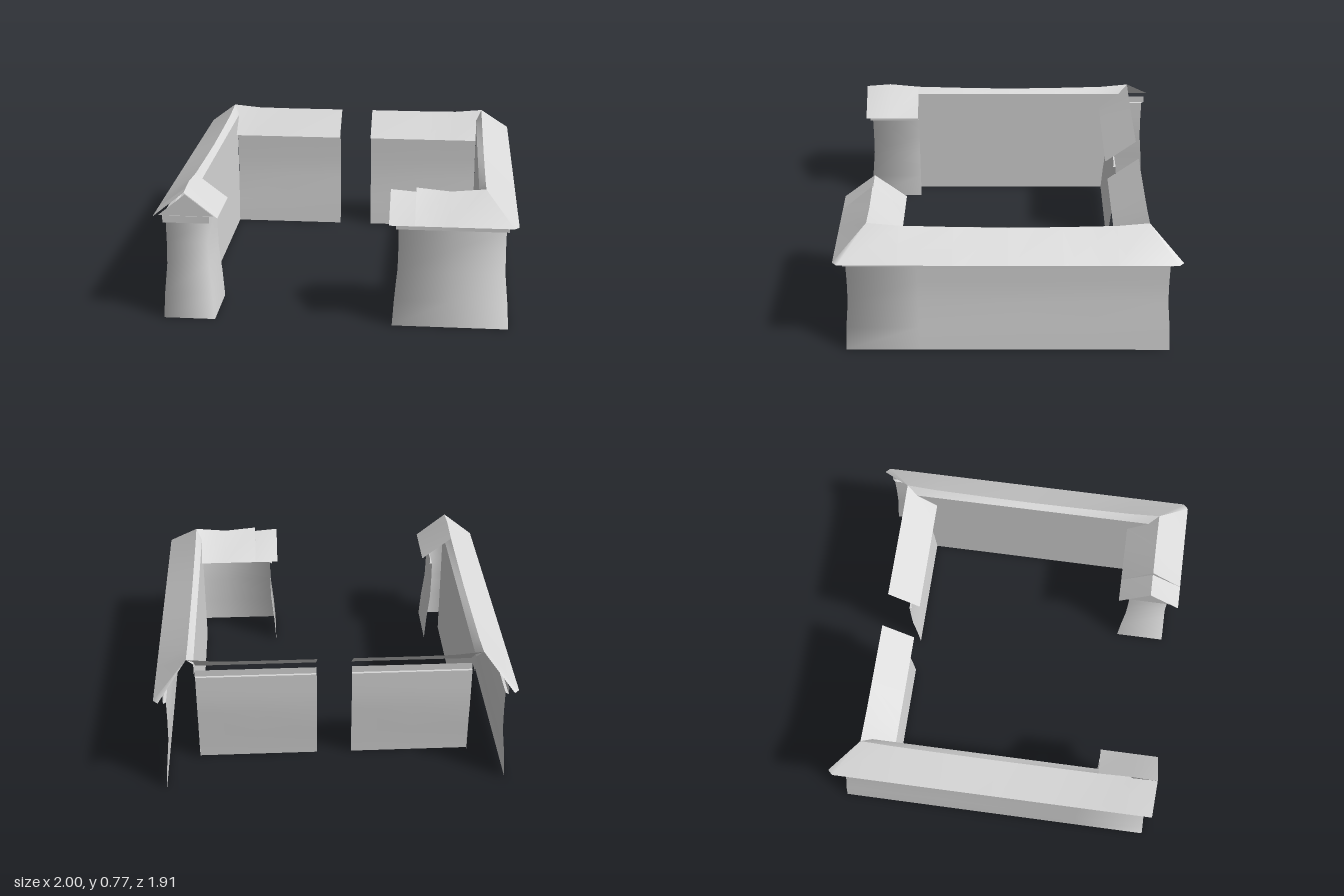
import * as THREE from 'three';

export function createModel() {
  const group = new THREE.Group();
  group.name = 'courtyardWalls';
  const plaster = new THREE.MeshStandardMaterial({ color: 0xd8d8d8, side: THREE.DoubleSide });
  plaster.name = 'paleGrey';

  // Sweeps a profile of [offset, y] along stations [x, z, dirX, dirZ, ridgeY].
  // A profile point with y = null takes the ridge height of its station.
  function sweep(name, path, profile, flat = false) {
    const pos = [], index = [], n = profile.length;
    for (const [x, z, dx, dz, ridge] of path)
      for (const [o, y] of profile) pos.push(x + dx * o, y === null ? ridge : y, z + dz * o);
    for (let i = 0; i < path.length - 1; i++)
      for (let j = 0; j < n - 1; j++) {
        const a = i * n + j, b = a + n;
        index.push(a, a + 1, b, b, a + 1, b + 1);
      }
    let geo = new THREE.BufferGeometry();
    geo.setAttribute('position', new THREE.Float32BufferAttribute(pos, 3));
    geo.setIndex(index);
    if (flat) geo = geo.toNonIndexed();
    geo.computeVertexNormals();
    const mesh = new THREE.Mesh(geo, plaster);
    mesh.name = name;
    group.add(mesh);
  }

  const wall = [[0.145, 0], [0.135, 0.15], [0.118, 0.32], [0.115, 0.45], [0.115, 0.57]];
  const trim = [[0.115, 0.57], [0.13, 0.57], [0.13, 0.61]];
  const slope = [[0.18, 0.61], [0, null]];
  const X = 0.82, Z = 0.775, IN = 0.785, LIP = X - IN;

  // Outer walls and their trim bands, turning round the two gate ends
  const leftWall = [
    [X, -Z, 1, -1], [X, -0.5, 1, 0], [X, 0.5, 1, 0], [X, Z, 1, 1],
    [0.64, Z, 0, 1], [0.465, Z, -1, 1], [0.465, Z, -1, -1],
  ];
  const rightWall = [
    [-X, 0.59, 1, 0], [-X, Z, 1, 1], [-X, Z, -1, 1],
    [-X, 0.5, -1, 0], [-X, -0.5, -1, 0], [-X, -Z, -1, -1],
  ];
  for (const [side, path] of [['left', leftWall], ['right', rightWall]]) {
    sweep(side + 'OuterWall', path, wall);
    sweep(side + 'WallTrim', path, trim, true);
  }

  // Outer roof slopes with a sagging ridge and clipped eave corners
  const sag = [[-Z, 0.768], [-0.6, 0.75], [-0.3, 0.742], [0, 0.737], [0.3, 0.742], [0.6, 0.75], [Z, 0.768]];
  const wing = (s) => [[s * X, -Z, s * 0.85, -1, 0.768],
    ...sag.map(([z, y], i) => [s * X, z, s, i === 0 ? -0.85 : 0, y])];
  const leftRoof = wing(1);
  leftRoof[7][3] = 0.85;
  sweep('leftRoof', [...leftRoof, [X, Z, 0.85, 1, 0.768],
    [0.63, Z, 0, 1, 0.75], [0.44, Z, 0, 1, 0.768]], slope);
  sweep('rightRoof', wing(-1).reverse(), slope);

  // Short roof caps over the gate ends, a step below the main ridge
  sweep('leftCapFront', [[0.44, Z, 0, 1, 0.743], [0.3, Z, 0, 1, 0.755]], slope);
  sweep('leftCapBack', [[0.3, Z, 0, -1, 0.755], [0.44, Z, 0, -1, 0.743]], slope);
  sweep('leftEndRoof',
    [[0.44, Z, 0, -1, 0.768], [0.63, Z, 0, -1, 0.75], [X, Z, -LIP / 0.18, -1, 0.768]], slope);
  sweep('rightCapOuter', [[-X, 0.925, -1, 0, 0.755], [-X, Z, -1, 0, 0.743]], slope);
  sweep('rightCapInner',
    [[-X, 0.59, 1, 0, 0.75], [-X, Z, 1, 0, 0.768], [-X, 0.925, 1, 0, 0.755]], slope);

  // Upright triangles: gables at the gate ends and risers at the roof steps
  function upright(name, x, z, ry, corners) {
    const tri = new THREE.Shape(corners.map(([u, v]) => new THREE.Vector2(u, v)));
    const mesh = new THREE.Mesh(new THREE.ShapeGeometry(tri), plaster);
    mesh.name = name;
    mesh.position.set(x, 0, z);
    mesh.rotation.y = ry;
    group.add(mesh);
  }
  const gable = [[-0.155, 0.61], [0.155, 0.61], [0, 0.735]];
  const riser = [[-0.18, 0.61], [0, 0.743], [0, 0.768]];
  upright('rightGable', -X, 0.9, 0, gable);
  upright('leftGable', 0.335, Z, -Math.PI / 2, gable);
  upright('rightRoofStep', -X, Z, 0, riser);
  upright('leftRoofStepBack', 0.44, Z, -Math.PI / 2, riser);
  upright('leftRoofStepFront', 0.44, Z, -Math.PI / 2, riser.map(([u, v]) => [-u, v]));

  for (const s of [1, -1]) {
    const side = s > 0 ? 'left' : 'right';
    const order = (path) => (s > 0 ? path.reverse() : path);

    // Courtyard face of each long wing, its upper strip and the lip below the ridge
    const face = (z) => [s * IN, z, 0, 0];
    sweep(side + 'InnerWall', order([face(-0.65), face(0.72)]), [[0, 0], [0, 0.61]]);
    sweep(side + 'InnerStrip', order([face(-0.73), face(0.73)]), [[0, 0.61], [0, 0.715]]);
    sweep(side + 'RoofLip', order(sag.map(([z, y], i) =>
      [s * X, z, -s, i === 0 ? 1 : i === 6 ? -1 : 0, y])), [[LIP, 0.715], [0, null]]);

    // Back walls either side of the opening, with their inward slopes
    const back = [0.1, 0.45, IN].map((x) => [s * x, -Z, 0, 1, 0.75]);
    const backRoof = [...back.slice(0, 2), [s * 0.65, -Z, 0, 1, 0.752],
      [s * X, -Z, -s * LIP / 0.18, 1, 0.768]];
    order(back);
    sweep(side + 'BackWall', back, wall);
    sweep(side + 'BackTrim', back, trim, true);
    sweep(side + 'BackRoof', order(backRoof), slope);
  }
  return group;
}
